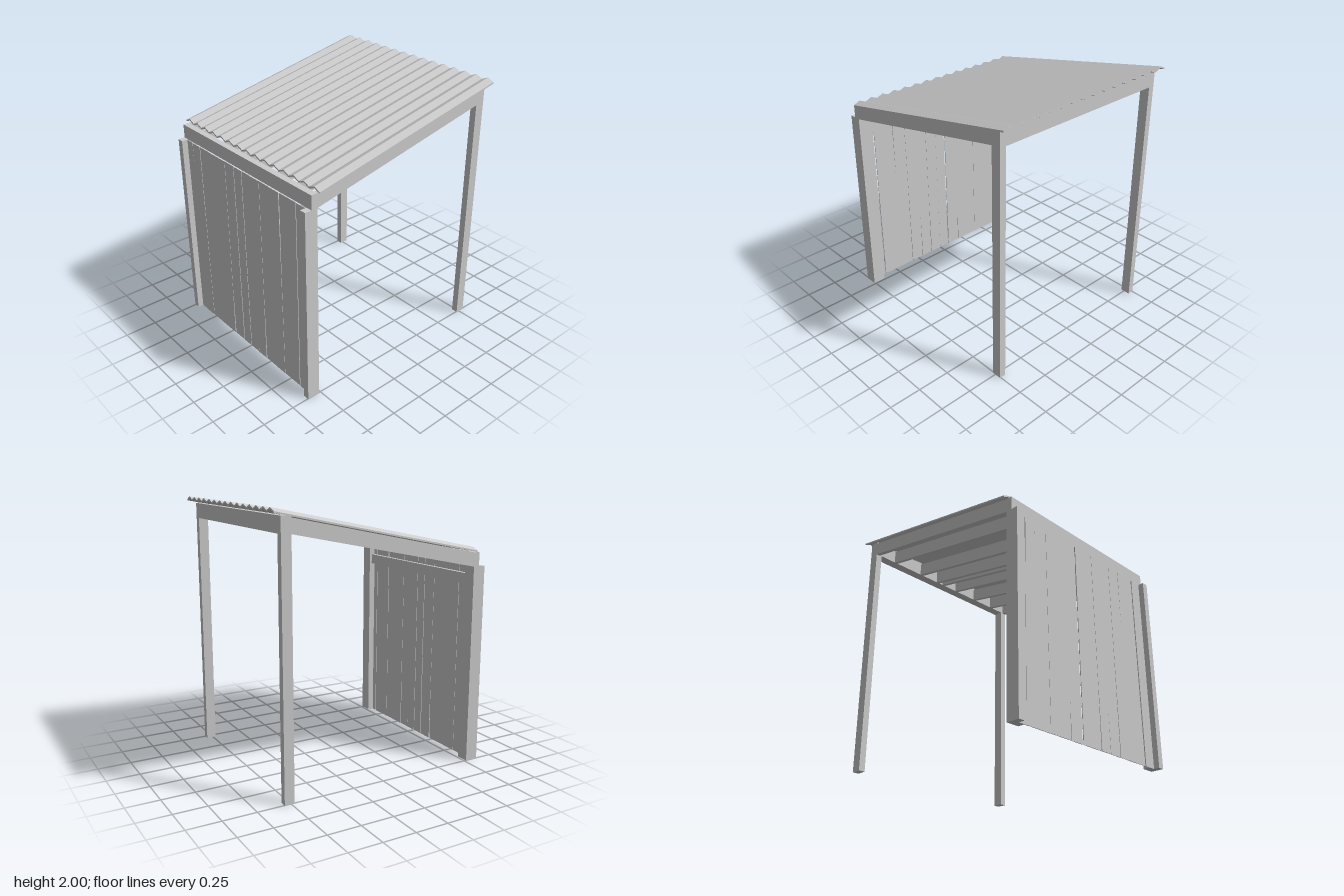
import * as THREE from 'three';

const material = new THREE.MeshStandardMaterial({ color: 0xcccccc, flatShading: true, side: THREE.DoubleSide });

const SLOPE = 0.209;   // roof pitch, rise per unit of x
const BACK = -0.765;   // inner face of the wall posts
const FRONT = 0.8;     // outer face of the tall posts

export function createModel() {
  const group = new THREE.Group();
  group.name = 'leanToShelter';

  const add = (name, geometry) => {
    const mesh = new THREE.Mesh(geometry, material);
    mesh.name = name;
    group.add(mesh);
    return mesh;
  };

  // box given by its extents
  const box = (name, x0, x1, y0, y1, z0, z1) => {
    const g = new THREE.BoxGeometry(x1 - x0, y1 - y0, z1 - z0);
    g.translate((x0 + x1) / 2, (y0 + y1) / 2, (z0 + z1) / 2);
    return add(name, g);
  };

  // outline in (-z, y), extruded along x from x0 to x1
  const extrudeX = (points, x0, x1) => {
    const shape = new THREE.Shape(points.map(([u, y]) => new THREE.Vector2(u, y)));
    const g = new THREE.ExtrudeGeometry(shape, { depth: x1 - x0, bevelEnabled: false });
    return g.rotateY(Math.PI / 2).translate(x0, 0, 0);
  };

  // raise vertices along x so a level piece follows the roof pitch
  const pitch = (g, originX) => {
    const p = g.attributes.position;
    for (let i = 0; i < p.count; i++) p.setY(i, p.getY(i) + (p.getX(i) - originX) * SLOPE);
    g.computeVertexNormals();
    return g;
  };

  // posts, mirrored to both sides
  for (const s of [1, -1]) {
    const side = s > 0 ? 'Front' : 'Rear';
    const span = (a, b) => (s > 0 ? [a, b] : [-b, -a]);
    box('tallPost' + side, 0.725, FRONT, 0, 1.83, ...span(0.705, 0.755));
    box('wallPostOuter' + side, -0.865, -0.815, 0, 1.515, ...span(0.705, 0.755));
    box('wallPostInner' + side, -0.815, BACK, 0, 1.515, ...span(0.655, 0.755));
  }

  // cross beams
  box('lowBeam', -0.812, BACK, 1.515, 1.62, -0.755, 0.755);
  box('highBeam', 0.725, FRONT, 1.83, 1.945, -0.755, 0.755);
  box('wallRail', -0.813, -0.785, 1.37, 1.45, -0.655, 0.655);

  // sloping rafters: outer pair and unevenly spaced inner ones
  const rafter = (name, z, width) => {
    const g = new THREE.BoxGeometry(0.725 - BACK, 0.105, width);
    g.translate((0.725 + BACK) / 2, 1.515 + 0.0525, z);
    add(name, pitch(g, BACK));
  };
  for (const z of [0.74, -0.74]) rafter('sideRafter', z, 0.03);
  for (const z of [0.567, 0.357, 0.13, -0.025, -0.09, -0.275, -0.555]) rafter('innerRafter', z, 0.025);

  // wall boards: seams as [z, gap at bottom, gap at top]
  const seams = [
    [0.705, 0, 0], [0.605, 0.009, 0.008], [0.425, -0.006, 0.007], [0.31, 0.003, -0.003],
    [0.2, 0.006, -0.009], [0.1, 0.004, -0.008], [0, 0.002, 0.002], [-0.095, 0.01, 0.008],
    [-0.215, 0.008, -0.02], [-0.415, 0, 0], [-0.53, -0.002, 0.003], [-0.63, -0.02, 0.007],
    [-0.705, 0, 0],
  ];
  for (let i = 0; i < seams.length - 1; i++) {
    const [za, ba, ta] = seams[i];
    const [zb, bb, tb] = seams[i + 1];
    const outline = [
      [-za + ba / 2, 0], [-zb - bb / 2, 0], [-zb - tb / 2, 1.512], [-za + ta / 2, 1.512],
    ];
    const x = -0.821 + (i % 2) * 0.002;
    add('wallBoard', extrudeX(outline, x, x + 0.006));
  }

  // corrugated roof sheet: zigzag section swept up the pitch
  const WAVES = 15, HALF = 0.783, RISE = 0.022, THICK = 0.012;
  const zigzag = [];
  for (let i = 0; i <= WAVES * 2; i++) {
    zigzag.push([-HALF + (i * HALF) / WAVES, 1.625 + (i % 2) * RISE]);
  }
  const section = [...zigzag, ...zigzag.map(([u, y]) => [u, y + THICK]).reverse()];
  add('corrugatedRoof', pitch(extrudeX(section, -0.768, 0.86), -0.768));

  return group;
}
